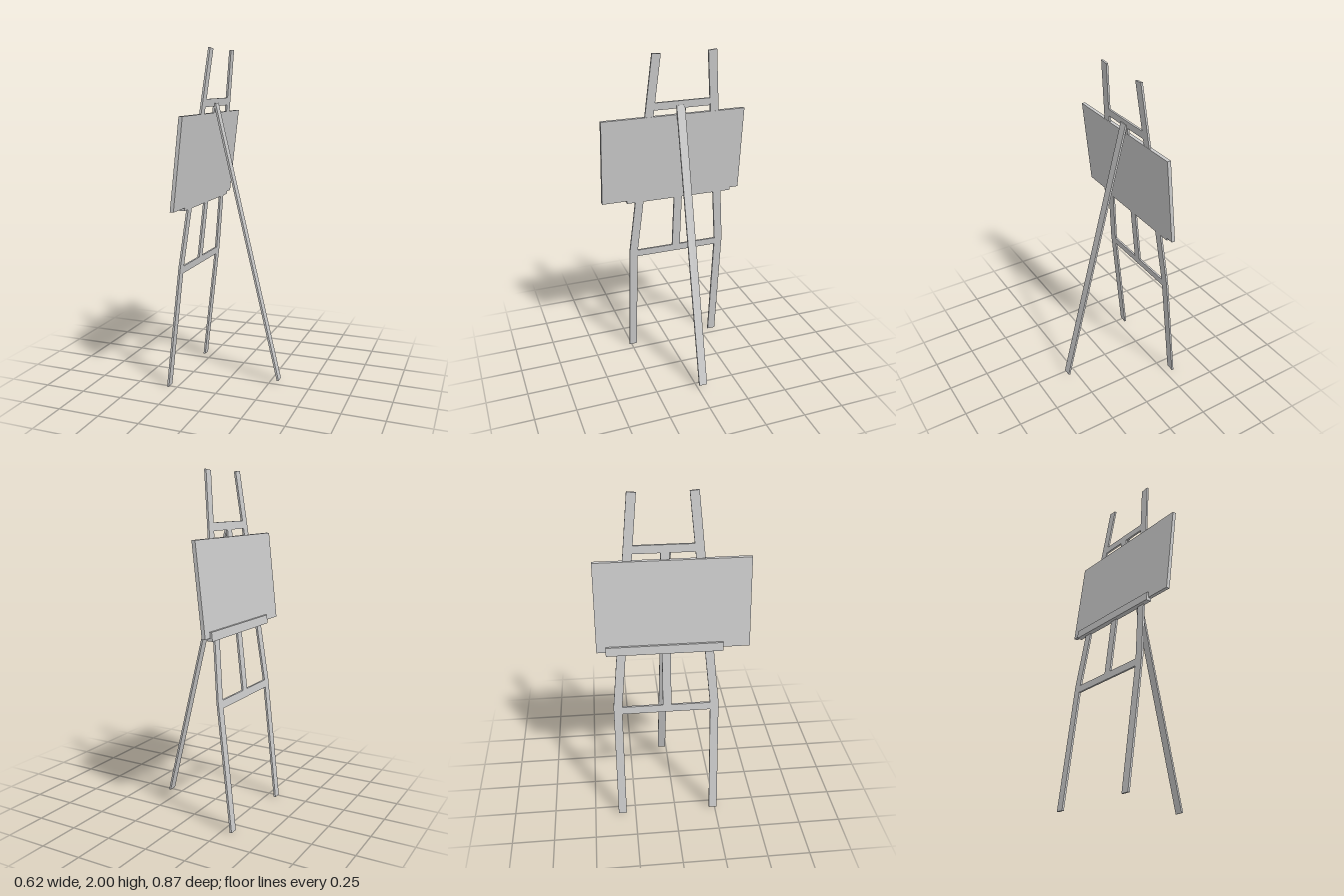
import * as THREE from 'three';

const material = new THREE.MeshStandardMaterial({ color: 0xcccccc, flatShading: true });
const LEAN = 0.1163;      // sideways run of the frame per unit of height
const FRONT = -0.311;     // x of the frame's face at the floor
const THICK = 0.012;      // thickness of the frame timbers
const MID = -0.046;       // z of the frame's centre line

// Flat panel outlined by [z, y] points, extruded along x and sheared to lean with the frame
function leaningPanel(name, points, offset = 0, thickness = THICK) {
  const shape = new THREE.Shape(points.map(([z, y]) => new THREE.Vector2(-z, y)));
  const geometry = new THREE.ExtrudeGeometry(shape, { depth: thickness, bevelEnabled: false });
  geometry.rotateY(Math.PI / 2);
  geometry.translate(FRONT + offset, 0, 0);
  const p = geometry.attributes.position;
  for (let i = 0; i < p.count; i++) p.setX(i, p.getX(i) + LEAN * p.getY(i));
  geometry.computeVertexNormals();
  const mesh = new THREE.Mesh(geometry, material);
  mesh.name = name;
  return mesh;
}

const rect = (z0, z1, y0, y1) => [[z0, y0], [z1, y0], [z1, y1], [z0, y1]];

export function createModel() {
  const easel = new THREE.Group();
  easel.name = 'easel';

  // Front legs: upright below, bent inwards above the lower crossbar
  for (const side of [1, -1]) {
    const outline = [
      [0.26, 0], [0.31, 0], [0.31, 0.75], [0.191, 2], [0.14, 1.995], [0.26, 0.74],
    ].map(([z, y]) => [MID + side * z, y]);
    easel.add(leaningPanel(side > 0 ? 'leftFrontLeg' : 'rightFrontLeg', outline));
  }

  // Crossbars and centre post
  easel.add(leaningPanel('lowerCrossbar', rect(MID - 0.262, MID + 0.262, 0.705, 0.75)));
  easel.add(leaningPanel('upperCrossbar', rect(MID - 0.17, MID + 0.17, 1.67, 1.715)));
  easel.add(leaningPanel('centrePost', rect(-0.066, -0.016, 0.75, 1.67)));

  // Board, its back just covering the frame
  easel.add(leaningPanel('board', rect(-0.437, 0.437, 1.11, 1.632), -0.009, 0.022));

  // Ledge: shelf under the board with a lip in front
  easel.add(leaningPanel('ledgeShelf', rect(-0.385, 0.283, 1.092, 1.11), -0.019, 0.031));
  easel.add(leaningPanel('ledgeLip', rect(-0.385, 0.283, 1.092, 1.143), -0.021, 0.012));

  // Back prop, hinged at the upper crossbar
  const top = new THREE.Vector2(-0.103, 1.688);
  const foot = new THREE.Vector2(0.304, 0.02);
  const run = top.clone().sub(foot);
  const prop = new THREE.Mesh(new THREE.BoxGeometry(0.012, run.length(), 0.05), material);
  prop.name = 'backProp';
  prop.position.set((top.x + foot.x) / 2, (top.y + foot.y) / 2, -0.033);
  prop.rotation.z = Math.atan2(-run.x, run.y);
  easel.add(prop);

  return easel;
}
